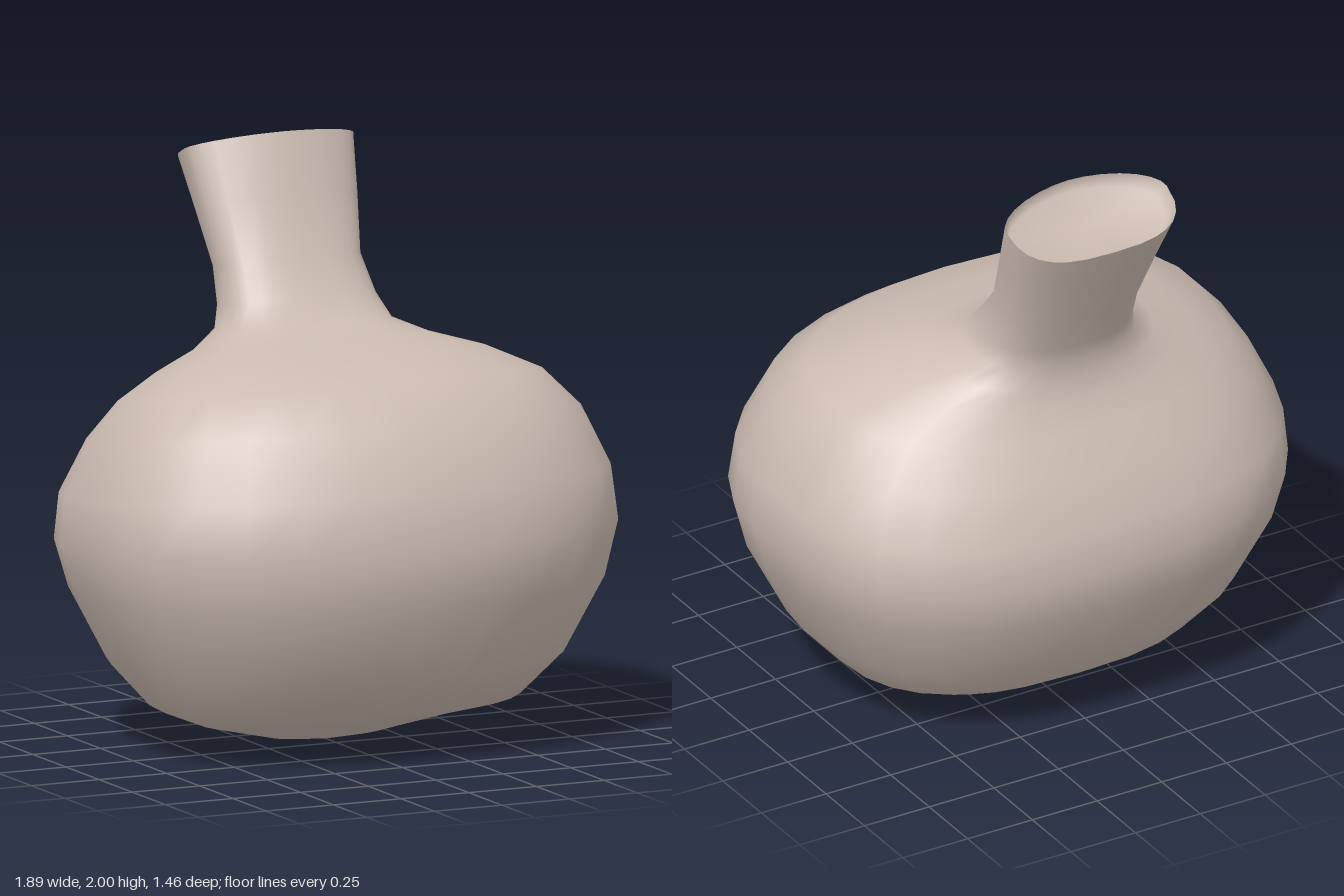
import * as THREE from 'three';

const SIDES = 28;

// One ring: front point (y, z), back point (y, z), half width,
// position of the widest point from front (0) to back (1), roundness of front and back halves
function ring([yF, zF, yB, zB, w, c, nF, nB]) {
  const points = [];
  for (let j = 0; j < SIDES; j++) {
    const a = (j / SIDES) * Math.PI * 2;
    const s = Math.sin(a), k = Math.cos(a);
    const n = k >= 0 ? nF : nB;
    const x = Math.sign(s) * w * Math.pow(Math.abs(s), 2 / n);
    const d = Math.pow(Math.abs(k), 2 / n);
    const t = k >= 0 ? c * (1 - d) : c + (1 - c) * d;
    points.push(x, yF + (yB - yF) * t, zF + (zB - zF) * t);
  }
  return points;
}

// Skin a stack of rings with smooth normals
function loft(rings) {
  const index = [];
  for (let i = 0; i < rings.length - 1; i++) {
    for (let j = 0; j < SIDES; j++) {
      const k = (j + 1) % SIDES;
      const a = i * SIDES + j, b = i * SIDES + k;
      index.push(a, b, b + SIDES, a, b + SIDES, a + SIDES);
    }
  }
  const geometry = new THREE.BufferGeometry();
  geometry.setAttribute('position', new THREE.Float32BufferAttribute(rings.flatMap(ring), 3));
  geometry.setIndex(index);
  geometry.computeVertexNormals();
  return geometry;
}

export function createModel() {
  const group = new THREE.Group();
  const clay = new THREE.MeshStandardMaterial({ color: 0xcbbbb1, side: THREE.DoubleSide });
  clay.name = 'pale clay';

  // Bulbous body, flat shoulder and neck leaning backwards
  const vessel = new THREE.Mesh(loft([
    [0.0, -0.08, 0.0, -0.1, 0.01, 0.45, 2, 2],
    [0.02, 0.0, 0.015, -0.2, 0.2, 0.45, 2.2, 2.4],
    [0.09, 0.18, 0.07, -0.33, 0.46, 0.45, 2.2, 2.4],
    [0.15, 0.41, 0.16, -0.47, 0.64, 0.45, 2.2, 2.5],
    [0.3, 0.57, 0.3, -0.585, 0.77, 0.46, 2.2, 2.6],
    [0.57, 0.71, 0.53, -0.7, 0.895, 0.46, 2.2, 2.6],
    [0.77, 0.73, 0.68, -0.725, 0.945, 0.46, 2.2, 2.6],
    [0.95, 0.69, 0.83, -0.7, 0.93, 0.46, 2.2, 2.6],
    [1.16, 0.58, 1.0, -0.61, 0.84, 0.46, 2.2, 2.6],
    [1.28, 0.41, 1.12, -0.53, 0.73, 0.46, 2.3, 2.5],
    [1.34, 0.2, 1.21, -0.48, 0.57, 0.46, 2.4, 2.4],
    [1.37, 0.05, 1.28, -0.465, 0.4, 0.47, 2.8, 2.4],
    [1.4, -0.07, 1.35, -0.46, 0.3, 0.48, 3, 2.4],
    [1.48, -0.14, 1.42, -0.485, 0.27, 0.48, 2.8, 2.4],
    [1.6, -0.23, 1.54, -0.535, 0.255, 0.46, 2.5, 2.5],
    [1.8, -0.31, 1.72, -0.62, 0.285, 0.42, 2.1, 2.6],
    [2.0, -0.39, 1.87, -0.69, 0.31, 0.4, 1.8, 2.8],
  ]), clay);
  vessel.name = 'bodyAndNeck';
  group.add(vessel);

  // Shallow sunken mouth closing the neck
  const mouth = new THREE.Mesh(loft([
    [2.0, -0.39, 1.87, -0.69, 0.31, 0.4, 1.8, 2.8],
    [1.95, -0.385, 1.82, -0.655, 0.285, 0.4, 1.8, 2.8],
    [1.885, -0.52, 1.885, -0.521, 0.001, 0.4, 2, 2],
  ]), clay);
  mouth.name = 'mouth';
  group.add(mouth);

  return group;
}
